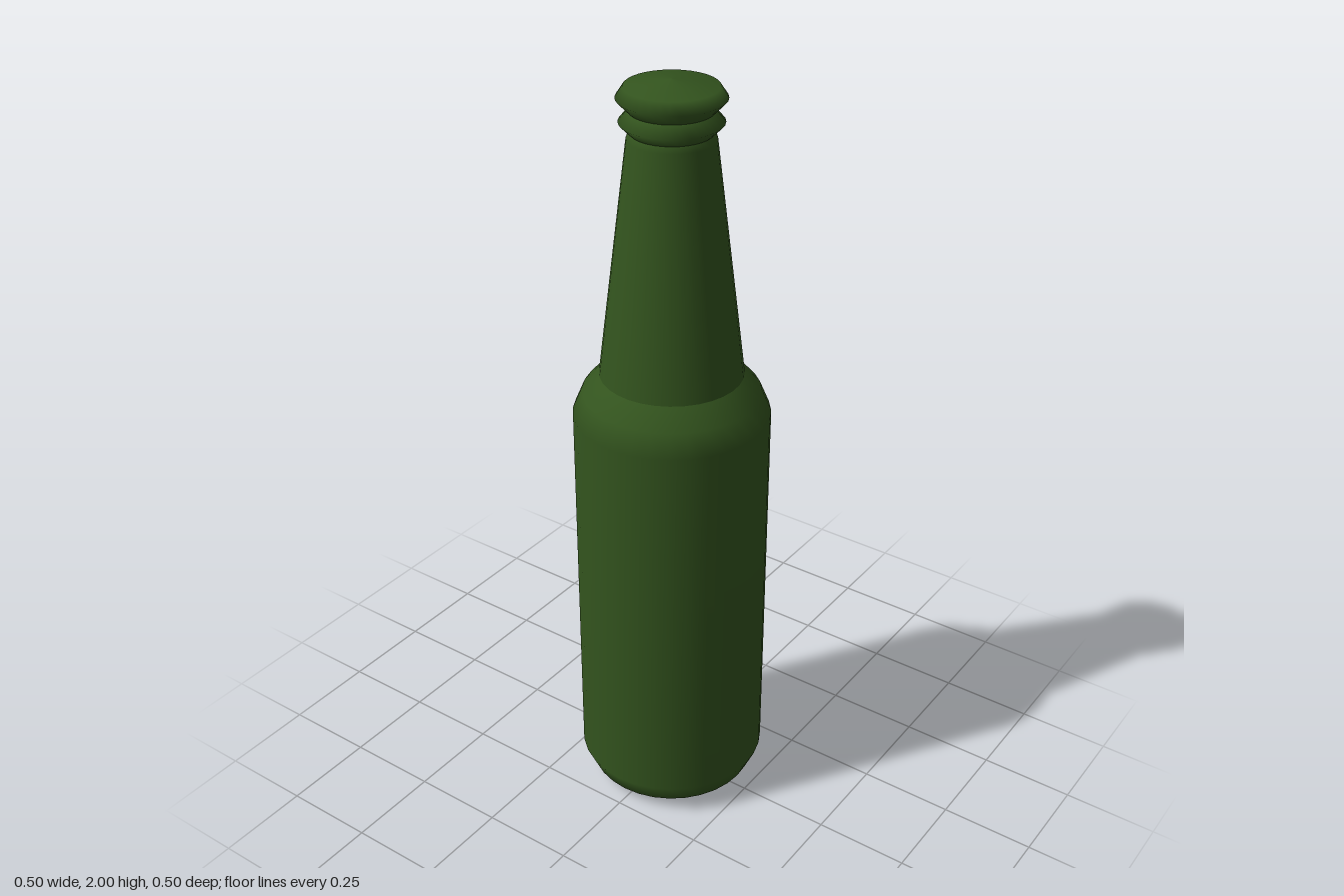
import * as THREE from 'three';

const SIDES = 32;

export function createModel() {
  const bottle = new THREE.Group();
  bottle.name = 'bottle';
  const glass = new THREE.MeshStandardMaterial({ color: 0x33541e });

  // Turns a [radius, height] profile, listed from bottom to top
  const addTurned = (name, profile) => {
    const points = profile.map(([r, y]) => new THREE.Vector2(r, y));
    const mesh = new THREE.Mesh(new THREE.LatheGeometry(points, SIDES), glass);
    mesh.name = name;
    bottle.add(mesh);
  };

  // Flat underside
  addTurned('base', [[0, 0], [0.178, 0]]);

  // Straight body with rounded heel and shoulder
  addTurned('body', [
    [0.178, 0], [0.225, 0.035], [0.251, 0.092],
    [0.251, 1.14], [0.226, 1.2], [0.182, 1.25],
  ]);

  // Long tapering neck
  addTurned('neck', [[0.182, 1.25], [0.107, 1.86], [0.1, 1.875]]);

  // Collar ring under the cap
  addTurned('collar', [[0.1, 1.875], [0.125, 1.9], [0.102, 1.927]]);

  // Flared cap with a slightly domed top
  addTurned('cap', [[0.102, 1.927], [0.131, 1.957], [0.113, 1.984], [0, 2]]);

  return bottle;
}
